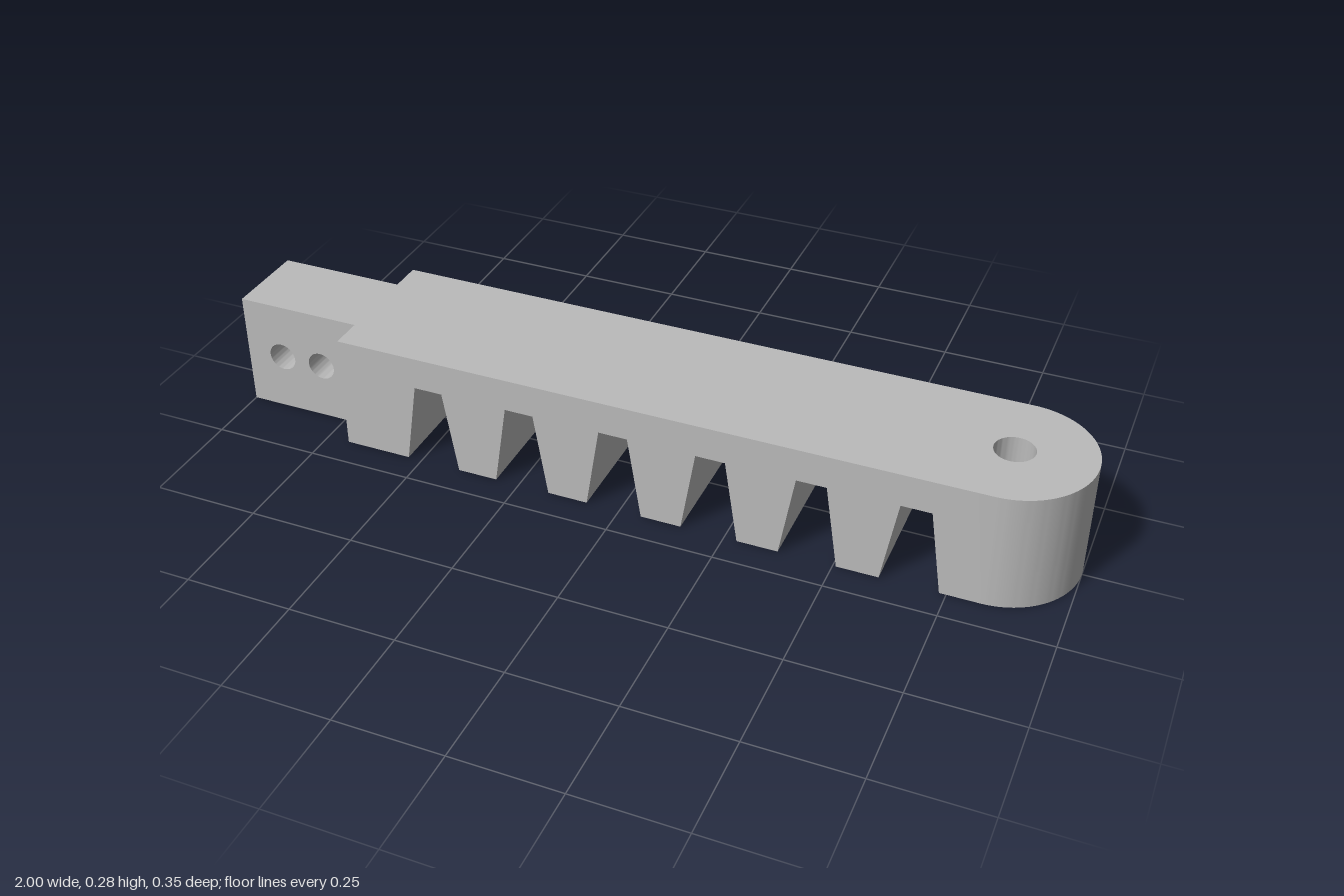
import * as THREE from 'three';
import { toCreasedNormals } from 'three/addons/utils/BufferGeometryUtils.js';

const HEIGHT = 0.279, HALF_WIDTH = 0.177, TANG_HALF = 0.1;
const TANG_X = -0.695, JOIN_X = 0.755, END_X = 0.823;

export function createModel() {
  const group = new THREE.Group();
  group.name = 'toothedRack';
  const grey = new THREE.MeshStandardMaterial({ color: 0xbbbbbb });
  grey.name = 'plainGrey';

  const extrude = (shape, depth) => toCreasedNormals(
    new THREE.ExtrudeGeometry(shape, { depth, bevelEnabled: false, curveSegments: 32 }), 0.6);
  const add = (name, geometry) => {
    const mesh = new THREE.Mesh(geometry, grey);
    mesh.name = name;
    group.add(mesh);
  };
  const hole = (x, y, r) => new THREE.Path().absarc(x, y, r, 0, Math.PI * 2, true);

  // Rack body: side profile with six tapered gaps cut from below
  const rack = new THREE.Shape();
  rack.moveTo(TANG_X, 0);
  for (let i = 0; i < 6; i++) {
    const c = -0.468 + i * 0.2273;
    rack.lineTo(c - 0.066, 0);
    rack.lineTo(c - 0.034, 0.201);
    rack.lineTo(c + 0.034, 0.201);
    rack.lineTo(c + 0.066, 0);
  }
  rack.lineTo(JOIN_X, 0);
  rack.lineTo(JOIN_X, HEIGHT);
  rack.lineTo(TANG_X, HEIGHT);
  rack.closePath();
  add('rackTeeth', extrude(rack, 2 * HALF_WIDTH).translate(0, 0, -HALF_WIDTH));

  // Rounded end with a vertical pivot hole
  const end = new THREE.Shape();
  end.moveTo(JOIN_X, -HALF_WIDTH);
  end.lineTo(END_X, -HALF_WIDTH);
  end.absarc(END_X, 0, HALF_WIDTH, -Math.PI / 2, Math.PI / 2, false);
  end.lineTo(JOIN_X, HALF_WIDTH);
  end.closePath();
  end.holes.push(hole(END_X, 0, 0.045));
  add('roundedEnd', extrude(end, HEIGHT).rotateX(-Math.PI / 2));

  // Narrow tang with two cross holes
  const tang = new THREE.Shape();
  tang.moveTo(-1, 0);
  tang.lineTo(TANG_X, 0);
  tang.lineTo(TANG_X, HEIGHT);
  tang.lineTo(-1, HEIGHT);
  tang.closePath();
  for (const x of [-0.906, -0.8]) tang.holes.push(hole(x, 0.14, 0.034));
  add('mountingTang', extrude(tang, 2 * TANG_HALF).translate(0, 0, -TANG_HALF));

  return group;
}
